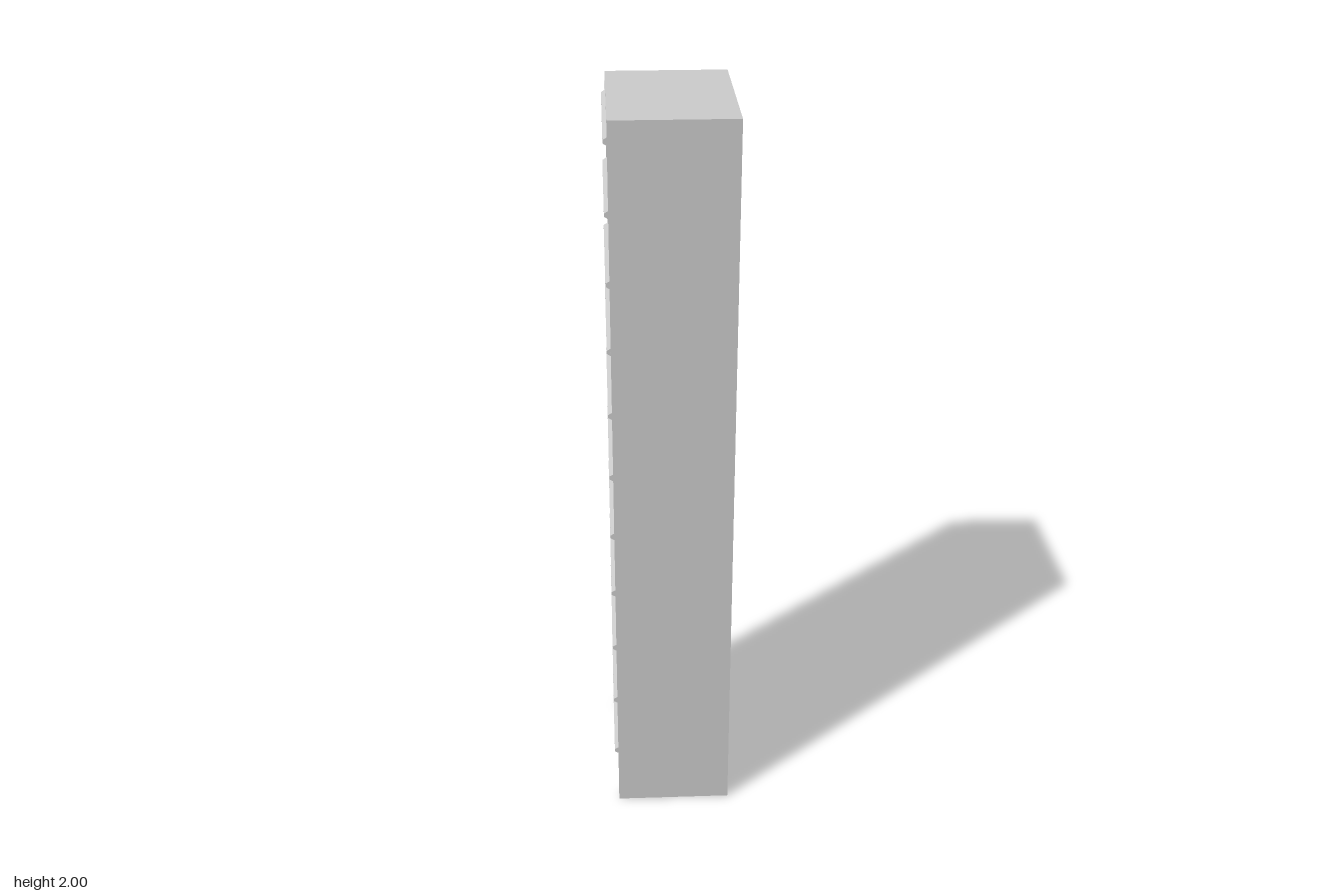
import * as THREE from 'three';

const material = new THREE.MeshStandardMaterial({ color: 0xcccccc, flatShading: true });

const XBACK = 0.161, XEDGE = -0.153, XPANEL = -0.13, XTIP = -0.163;
const HALF_Z = 0.224, WALL = 0.015, HEIGHT = 2;
const SLATS = 11, FIRST = 0.168, PITCH = 0.178;

function box(name, x0, x1, y0, y1, z0, z1) {
  const mesh = new THREE.Mesh(new THREE.BoxGeometry(x1 - x0, y1 - y0, z1 - z0), material);
  mesh.position.set((x0 + x1) / 2, (y0 + y1) / 2, (z0 + z1) / 2);
  mesh.name = name;
  return mesh;
}

export function createModel() {
  const group = new THREE.Group();
  group.name = 'louvredCabinet';

  // Shell: closed side, two end walls and the top
  const top = HEIGHT - WALL;
  group.add(box('sidePanel', XBACK - WALL, XBACK, 0, top, -HALF_Z + WALL, HALF_Z - WALL));
  group.add(box('frontWall', XEDGE, XBACK, 0, top, HALF_Z - WALL, HALF_Z));
  group.add(box('backWall', XEDGE, XBACK, 0, top, -HALF_Z, -HALF_Z + WALL));
  group.add(box('topPanel', XEDGE, XBACK, top, HEIGHT, -HALF_Z, HALF_Z));

  // Core with a louvred face, slightly recessed from the bottom rim
  const profile = new THREE.Shape();
  profile.moveTo(XBACK - WALL, 0.012);
  profile.lineTo(XBACK - WALL, top);
  profile.lineTo(XPANEL, top);
  for (let i = SLATS - 1; i >= 0; i--) {
    const y = FIRST + i * PITCH;
    profile.lineTo(XPANEL, y + 0.022); // sloped top of the slat
    profile.lineTo(XTIP, y + 0.002);
    profile.lineTo(XTIP, y - 0.006); // thin lip
    profile.lineTo(-0.15, y - 0.014); // undercut, then leaning panel
  }
  profile.lineTo(XPANEL, 0.012);
  profile.closePath();

  const depth = 2 * (HALF_Z - WALL);
  const core = new THREE.Mesh(
    new THREE.ExtrudeGeometry(profile, { depth, bevelEnabled: false }), material);
  core.position.z = -depth / 2;
  core.name = 'louvredCore';
  group.add(core);

  return group;
}
